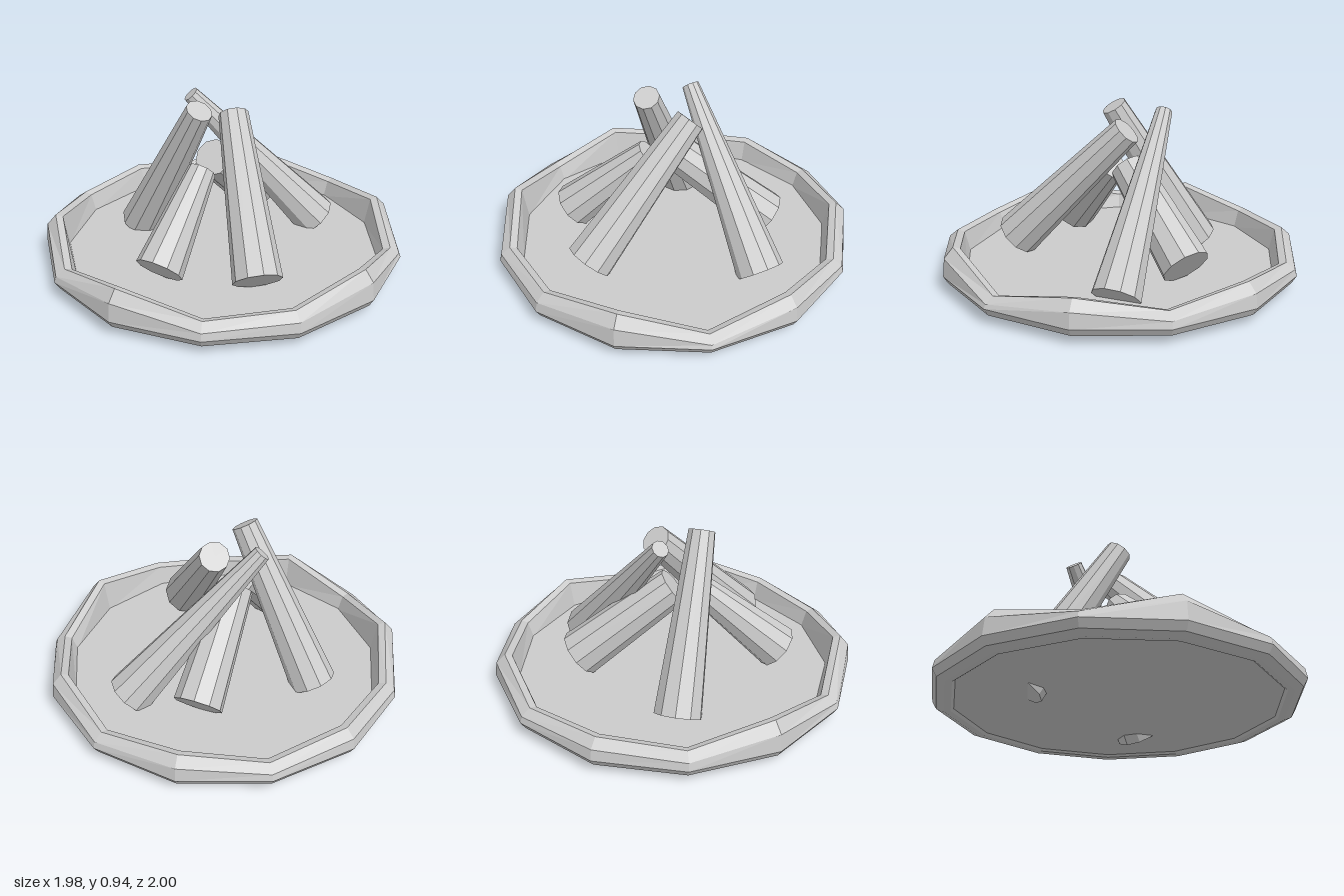
import * as THREE from 'three';

const material = new THREE.MeshStandardMaterial({ color: 0xcccccc, flatShading: true });
const SIDES = 13;
const CENTER_X = -0.015;

// Rim cross-section as [radius, y] for a given crest height, counterclockwise
const rimSection = (h) => [
  [0.875, 0.065], [0.9, 0.045], [0.935, 0.04], [0.98, 0.058], [1.005, 0.1],
  [0.995, 0.05 + 0.72 * (h - 0.05)], [0.945, h], [0.905, h - 0.012],
];

// Uneven ring: one section per corner, each with its own crest height
function createRim() {
  const heights = [0.235, 0.15, 0.26, 0.195, 0.175, 0.26, 0.165, 0.255, 0.18, 0.205, 0.17, 0.225, 0.17];
  const loops = heights.map((h, i) => {
    const a = (i / SIDES) * Math.PI * 2;
    return rimSection(h).map(([r, y]) => [CENTER_X + r * Math.cos(a), y, r * Math.sin(a)]);
  });
  const positions = [];
  loops.forEach((loop, i) => {
    const next = loops[(i + 1) % SIDES];
    loop.forEach((p, j) => {
      const k = (j + 1) % loop.length;
      positions.push(...p, ...loop[k], ...next[j]);
      positions.push(...loop[k], ...next[k], ...next[j]);
    });
  });
  const geometry = new THREE.BufferGeometry();
  geometry.setAttribute('position', new THREE.Float32BufferAttribute(positions, 3));
  geometry.computeVertexNormals();
  const rim = new THREE.Mesh(geometry, material);
  rim.name = 'rim';
  return rim;
}

// Tapered log running from a thick bottom to a thin top
function createLog(name, bottom, bottomRadius, top, topRadius) {
  const a = new THREE.Vector3(...bottom);
  const b = new THREE.Vector3(...top);
  const axis = b.clone().sub(a);
  const log = new THREE.Mesh(
    new THREE.CylinderGeometry(topRadius, bottomRadius, axis.length(), 10), material);
  log.position.copy(a).add(b).multiplyScalar(0.5);
  log.quaternion.setFromUnitVectors(new THREE.Vector3(0, 1, 0), axis.normalize());
  log.name = name;
  return log;
}

export function createModel() {
  const model = new THREE.Group();
  model.name = 'campfire';
  model.add(createRim());

  // Flat ground inside the rim
  const floor = new THREE.Mesh(
    new THREE.CylinderGeometry(0.885, 0.885, 0.015, SIDES, 1, false, Math.PI / 2), material);
  floor.position.set(CENTER_X, 0.065, 0);
  floor.name = 'floor';
  model.add(floor);

  // Logs leaning together
  model.add(
    createLog('frontLog', [0.01, 0.165, 0.6], 0.132, [0.06, 0.83, -0.055], 0.083),
    createLog('leftLog', [0.585, 0.095, -0.125], 0.132, [-0.14, 0.905, -0.22], 0.047),
    createLog('backRightLog', [-0.41, 0.08, -0.37], 0.13, [-0.16, 0.915, 0.07], 0.073),
    createLog('frontRightLog', [-0.46, 0.18, 0.39], 0.13, [-0.15, 0.57, 0.07], 0.078),
    createLog('backLeftLog', [0.295, 0.175, -0.43], 0.135, [-0.06, 0.59, -0.04], 0.105),
  );
  return model;
}
